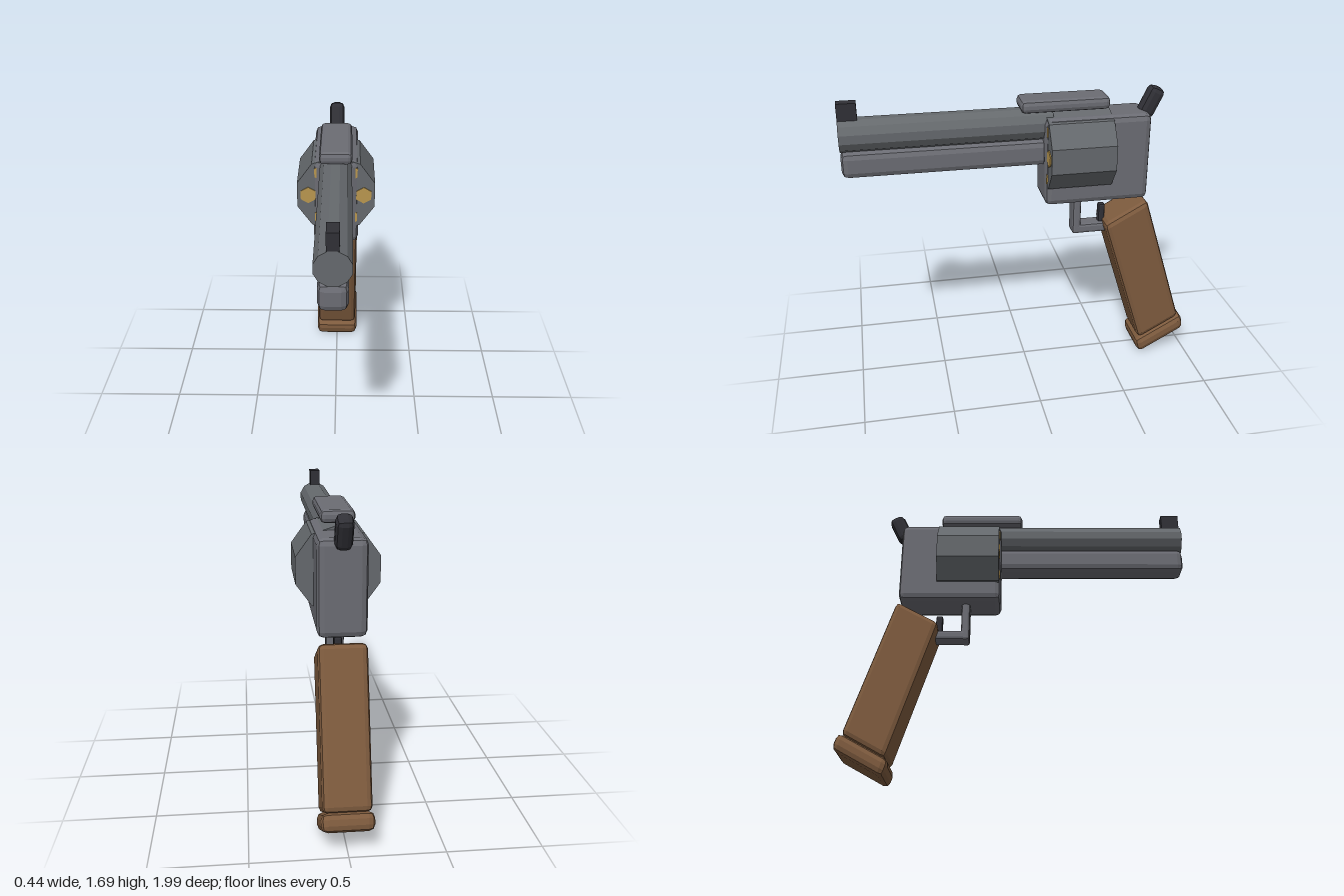
import * as THREE from 'three';
import { RoundedBoxGeometry } from 'three/addons/geometries/RoundedBoxGeometry.js';

function material(name, color) {
  const m = new THREE.MeshStandardMaterial({ color });
  m.name = name;
  return m;
}

// Faceted look: every triangle gets its own normal
function faceted(geometry) {
  const g = geometry.index ? geometry.toNonIndexed() : geometry;
  g.computeVertexNormals();
  return g;
}

export function createModel() {
  const model = new THREE.Group();
  model.name = 'revolver';

  const frameSteel = material('frame steel', 0x6b6c73);
  const barrelSteel = material('barrel steel', 0x65696d);
  const darkSteel = material('dark steel', 0x303036);
  const wood = material('wood', 0x7e5b3e);
  const brass = material('brass', 0xb8964f);

  function add(name, geometry, mat, x, y, z) {
    const mesh = new THREE.Mesh(faceted(geometry), mat);
    mesh.name = name;
    mesh.position.set(x, y, z);
    model.add(mesh);
    return mesh;
  }

  // Box with bevelled edges
  const bevelBox = (w, h, d, r) => new RoundedBoxGeometry(w, h, d, 1, r);

  // Prism lying along z, turned by an angle around its own axis
  function prism(radius, length, sides, turn) {
    return new THREE.CylinderGeometry(radius, radius, length, sides)
      .rotateY(turn)
      .rotateX(Math.PI / 2);
  }

  // Frame and top rib
  add('frame', bevelBox(0.255, 0.505, 0.6, 0.035), frameSteel, 0, 1.313, -0.398);
  add('topRib', bevelBox(0.18, 0.07, 0.495, 0.025), frameSteel, 0, 1.63, -0.218);

  // Barrel, underlug and front sight
  add('barrel', prism(0.092, 1.15, 12, Math.PI / 12), barrelSteel, 0, 1.516, 0.425);
  add('underlug', bevelBox(0.145, 0.145, 1.15, 0.035), frameSteel, 0, 1.358, 0.425);
  add('frontSight', new THREE.BoxGeometry(0.06, 0.1, 0.105), darkSteel, 0, 1.645, 0.947);

  // Ten-sided drum with a vertex at the top and flats at the sides
  const drumY = 1.36;
  add('drum', prism(0.231, 0.365, 10, 0), barrelSteel, 0, drumY, -0.293);

  // Six hexagonal cartridge ends on the front of the drum
  for (let i = 0; i < 6; i++) {
    const a = (i * Math.PI) / 3;
    add('cartridge', prism(0.049, 0.009, 6, 0), brass,
      0.157 * Math.cos(a), drumY + 0.157 * Math.sin(a), -0.109);
  }

  // Hammer, leaning back
  add('hammer', bevelBox(0.088, 0.176, 0.094, 0.03), darkSteel, 0, 1.603, -0.72).rotation.x = -0.45;

  // Trigger and its guard
  add('guardPost', bevelBox(0.1, 0.25, 0.05, 0.015), frameSteel, 0, 0.958, -0.305);
  add('guardBar', bevelBox(0.1, 0.057, 0.25, 0.015), frameSteel, 0, 0.863, -0.405);
  add('trigger', bevelBox(0.045, 0.15, 0.04, 0.012), darkSteel, 0, 0.925, -0.46);

  // Slanted grip and butt plate: bevelled boxes sheared to the grip angle
  const slant = new THREE.Matrix4().makeBasis(
    new THREE.Vector3(1, 0, 0),
    new THREE.Vector3(0, 0.954, 0.299),
    new THREE.Vector3(0, -0.485, 0.875),
  );
  add('grip', bevelBox(0.255, 0.85, 0.285, 0.03).applyMatrix4(slant), wood, 0, 0.572, -0.706);
  add('buttPlate', bevelBox(0.274, 0.1, 0.33, 0.034).applyMatrix4(slant), wood, 0, 0.12, -0.843);

  return model;
}
